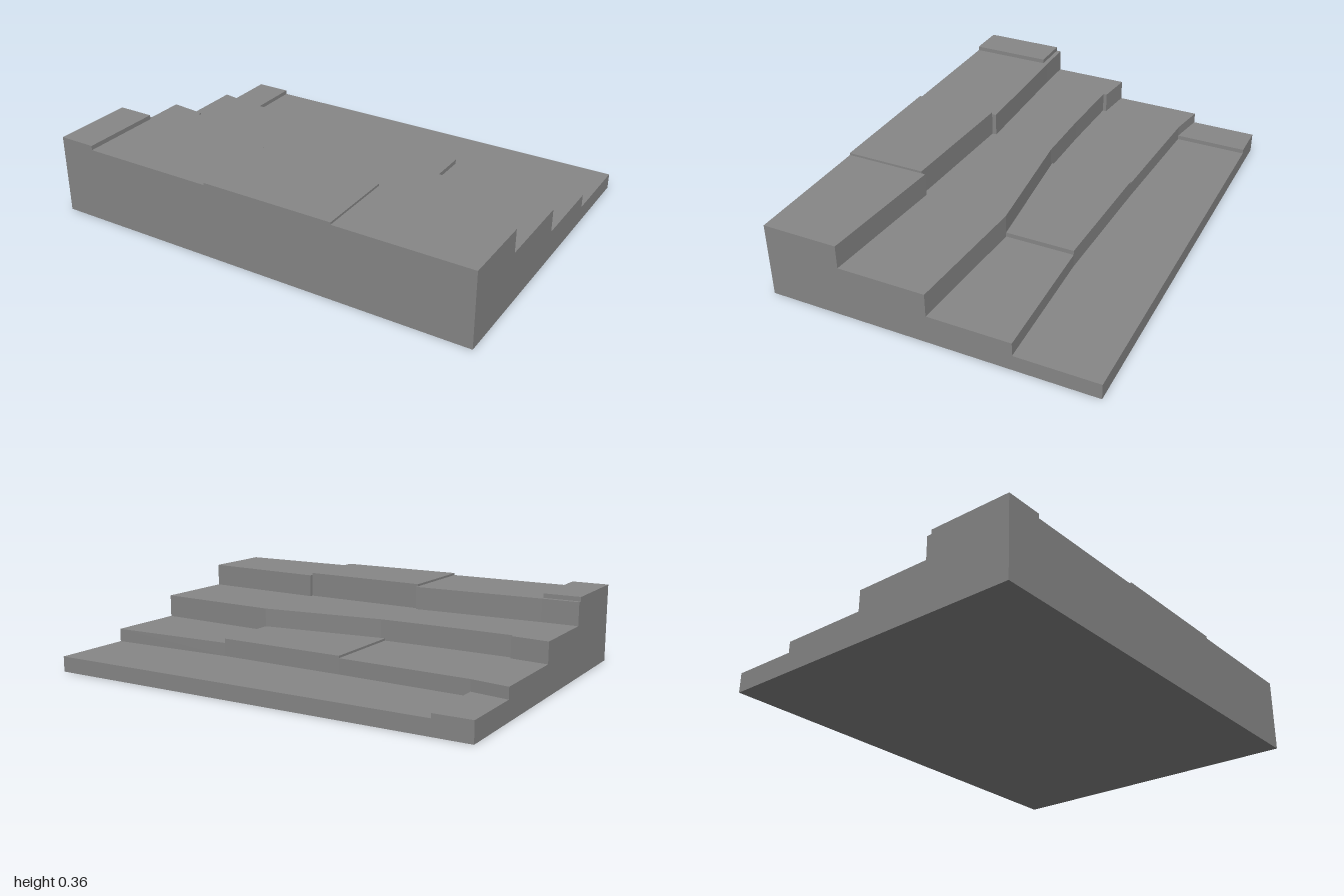
import * as THREE from 'three';

const FRONT = 0.735, BACK = -0.735;
const SEAM_L = -0.83, SEAM_M = -0.22, SEAM_R = 0.388;

// Back edges of each terrace as [x, z], running from -x to +x
const topEdge = [[-1, 0.335], [SEAM_L, 0.335], [SEAM_M, 0.32], [SEAM_M, 0.34],
  [SEAM_R, 0.368], [SEAM_R, 0.35], [1, 0.395]];
const middleEdge = [[-1, -0.02], [SEAM_L, -0.002], [SEAM_L, 0.015], [-0.5, 0.023], [-0.2, 0.023],
  [SEAM_R, -0.037], [1, 0.002]];
const lowerEdge = [[-1, -0.427], [SEAM_L, -0.398], [SEAM_M, -0.37], [SEAM_R, -0.352], [1, -0.368]];
const baseEdge = [[-1, BACK], [1, BACK]];

export function createModel() {
  const model = new THREE.Group();
  model.name = 'steppedTerrace';
  const material = new THREE.MeshStandardMaterial({ color: 0x878787, flatShading: true });

  // Upright slab between two heights: a back edge closed by a straight line at z = front
  function slab(name, edge, bottom, top, front = FRONT) {
    const outline = [...edge, [edge[edge.length - 1][0], front], [edge[0][0], front]];
    const shape = new THREE.Shape(outline.map(([x, z]) => new THREE.Vector2(x, -z)));
    const geometry = new THREE.ExtrudeGeometry(shape, { depth: top - bottom, bevelEnabled: false });
    geometry.rotateX(-Math.PI / 2).translate(0, bottom, 0);
    const mesh = new THREE.Mesh(geometry, material);
    mesh.name = name;
    model.add(mesh);
  }

  // Terraces, each stacked on the one below
  slab('baseTerrace', baseEdge, 0, 0.07);
  slab('lowerTerrace', lowerEdge, 0.07, 0.13);
  slab('middleTerrace', middleEdge, 0.13, 0.235);
  slab('topTerrace', topEdge, 0.235, 0.34);

  // Raised paving on the base terrace
  slab('basePaving', [[-1, BACK], [SEAM_L, BACK]], 0.07, 0.09, -0.36);

  // Raised paving on the lower terrace, tucked under the middle one
  slab('lowerPavingRight', lowerEdge.slice(0, 3), 0.13, 0.14, 0.06);
  slab('lowerPavingCentre', lowerEdge.slice(2, 4), 0.13, 0.15, 0.06);

  // Raised paving on the top terrace
  slab('topPavingRight', [[-1, 0.356], [SEAM_L, 0.356]], 0.34, 0.36);
  slab('topPavingCentre', topEdge.slice(3, 5), 0.34, 0.35);

  return model;
}
